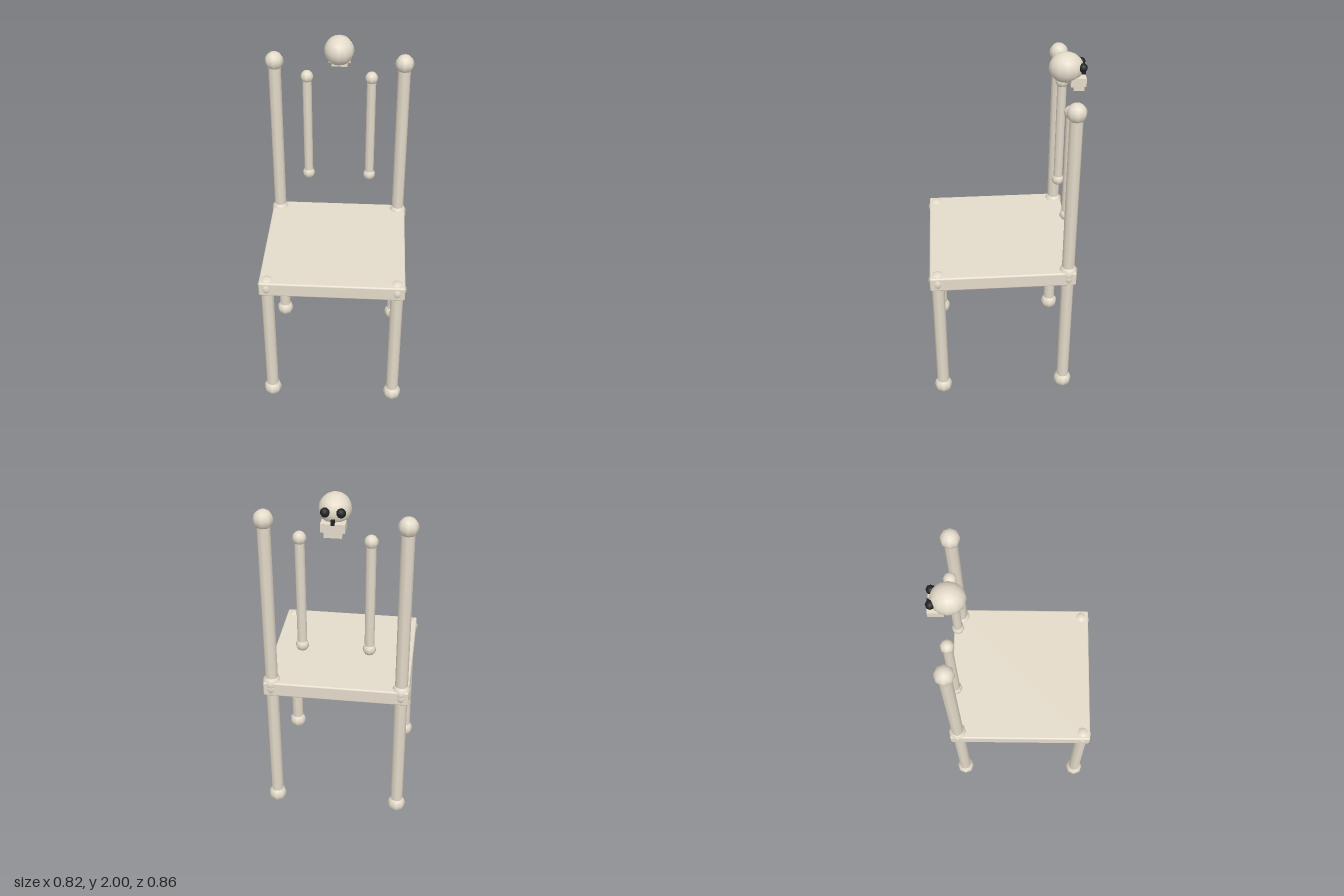
import * as THREE from 'three';
import { RoundedBoxGeometry } from 'three/addons/geometries/RoundedBoxGeometry.js';

const bone = new THREE.MeshStandardMaterial({ color: 0xe3dac9 });
const dark = new THREE.MeshStandardMaterial({ color: 0x222222 });

function add(parent, name, geometry, x, y, z, material = bone) {
  const mesh = new THREE.Mesh(geometry, material);
  mesh.name = name;
  mesh.position.set(x, y, z);
  parent.add(mesh);
  return mesh;
}

// A shaft with a knob centred on each end
function makeBone(name, x, z, y0, y1, shaftRadius, knobRadius) {
  const group = new THREE.Group();
  group.name = name;
  group.position.set(x, 0, z);
  const shaft = new THREE.CylinderGeometry(shaftRadius, shaftRadius, y1 - y0, 8);
  const knob = new THREE.SphereGeometry(knobRadius, 8, 8);
  add(group, 'shaft', shaft, 0, (y0 + y1) / 2, 0);
  add(group, 'lowerKnob', knob, 0, y0, 0);
  add(group, 'upperKnob', knob, 0, y1, 0);
  return group;
}

// Skull looking out behind the chair
function makeSkull() {
  const skull = new THREE.Group();
  skull.name = 'skull';
  skull.position.set(0, 1.92, -0.328);
  const cranium = add(skull, 'cranium', new THREE.SphereGeometry(1, 12, 10), 0, 0, 0);
  cranium.scale.set(0.082, 0.08, 0.09);
  add(skull, 'upperJaw', new THREE.BoxGeometry(0.12, 0.045, 0.08), 0, -0.063, -0.061);
  add(skull, 'lowerJaw', new THREE.BoxGeometry(0.088, 0.034, 0.055), 0, -0.099, -0.066);
  for (const side of [-1, 1]) {
    const name = side > 0 ? 'leftEyeSocket' : 'rightEyeSocket';
    add(skull, name, new THREE.SphereGeometry(0.024, 8, 8), side * 0.039, 0.011, -0.081, dark);
  }
  add(skull, 'nose', new THREE.BoxGeometry(0.018, 0.026, 0.02), 0, -0.034, -0.092, dark);
  return skull;
}

export function createModel() {
  const chair = new THREE.Group();
  chair.name = 'boneChair';

  add(chair, 'seat', new RoundedBoxGeometry(0.8, 0.086, 0.8, 2, 0.01), 0, 0.843, 0.02);

  // Legs, back posts and floating back slats, mirrored left and right
  for (const side of [-1, 1]) {
    const label = side > 0 ? 'left' : 'right';
    const x = side * 0.357;
    chair.add(
      makeBone(label + 'FrontLeg', x, 0.377, 0.052, 0.845, 0.035, 0.052),
      makeBone(label + 'BackLeg', x, -0.337, 0.052, 0.845, 0.035, 0.052),
      makeBone(label + 'BackPost', x, -0.337, 0.868, 1.845, 0.035, 0.052),
      makeBone(label + 'BackSlat', side * 0.179, -0.337, 1.13, 1.755, 0.026, 0.036)
    );
  }

  chair.add(makeSkull());
  return chair;
}
